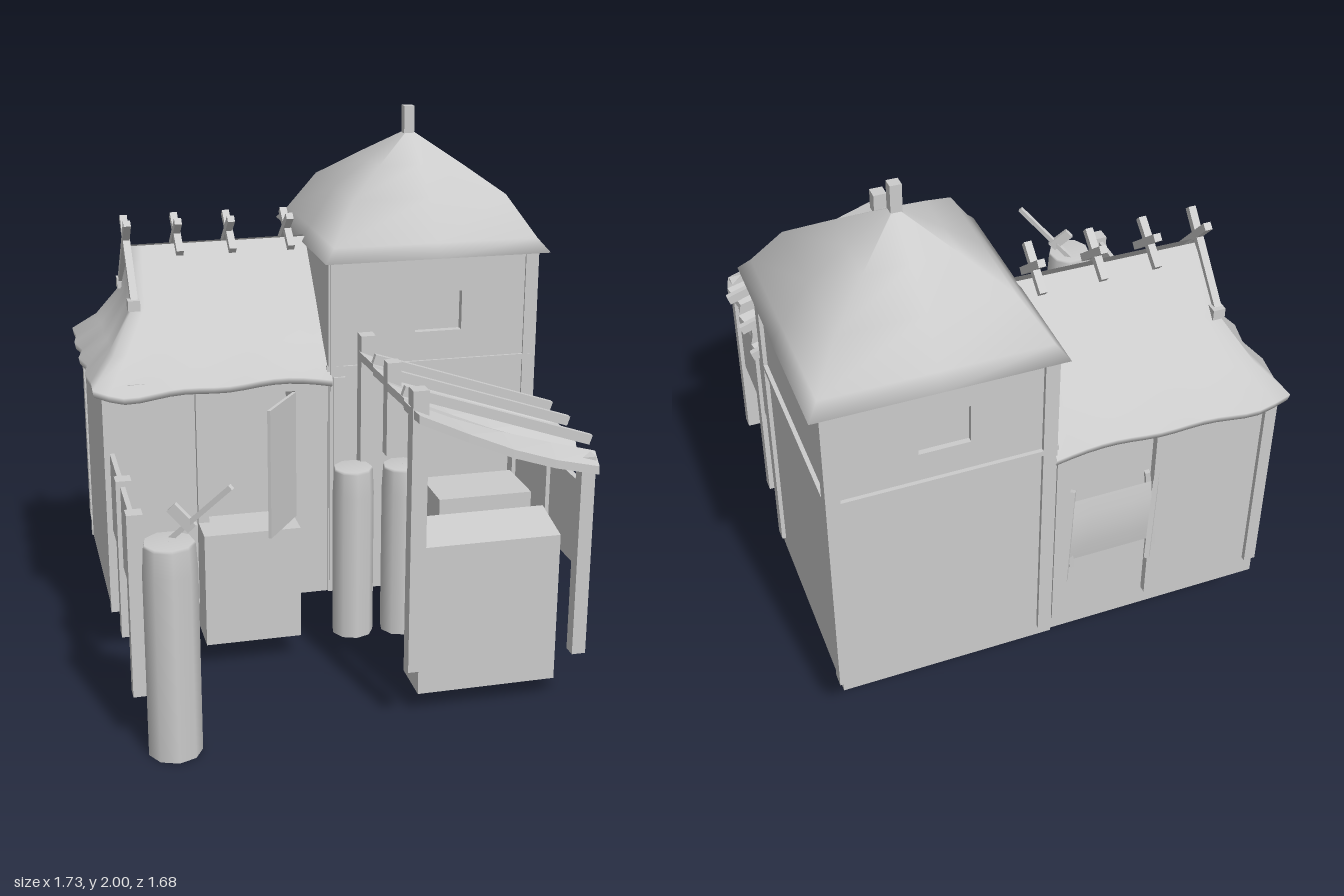
import * as THREE from 'three';

const V = (x, y, z) => new THREE.Vector3(x, y, z);
const smooth = new THREE.MeshStandardMaterial({ color: 0xcccccc, side: THREE.DoubleSide });
const flat = new THREE.MeshStandardMaterial({ color: 0xcccccc, side: THREE.DoubleSide, flatShading: true });

function add(parent, name, geo, mat = flat) {
  const m = new THREE.Mesh(geo, mat);
  m.name = name;
  parent.add(m);
  return m;
}

// Box given by its limits on each axis
function box(parent, name, [x0, x1], [y0, y1], [z0, z1]) {
  const m = add(parent, name, new THREE.BoxGeometry(x1 - x0, y1 - y0, z1 - z0));
  m.position.set((x0 + x1) / 2, (y0 + y1) / 2, (z0 + z1) / 2);
  return m;
}

// Square beam between two points
function beam(parent, name, a, b, w = 0.03, h = w) {
  const m = add(parent, name, new THREE.BoxGeometry(w, h, a.distanceTo(b)));
  m.position.copy(a).lerp(b, 0.5);
  m.lookAt(b);
  return m;
}

// Upright post on a square footing
const post = (parent, name, x, z, y0, y1, w = 0.05) =>
  box(parent, name, [x - w / 2, x + w / 2], [y0, y1], [z - w / 2, z + w / 2]);

// Wall slab facing outward, with an optional opening [x0, x1, y0, y1]
function wall(parent, name, w, y0, y1, x, z, turn, hole) {
  const rect = (P, a, b, c, d) => new P([[a, c], [b, c], [b, d], [a, d]].map(p => new THREE.Vector2(...p)));
  const s = rect(THREE.Shape, -w / 2, w / 2, y0, y1);
  if (hole) s.holes.push(rect(THREE.Path, ...hole));
  const g = new THREE.ExtrudeGeometry(s, { depth: 0.03, bevelEnabled: false });
  g.translate(0, 0, -0.03).rotateY(turn);
  add(parent, name, g).position.set(x, 0, z);
}

// Surface through rings of equal length, from the bottom up
function loft(rings, closed) {
  const n = rings[0].length, idx = [];
  for (let i = 0; i < rings.length - 1; i++)
    for (let j = 0; j < (closed ? n : n - 1); j++) {
      const k = (j + 1) % n, a = i * n + j, b = i * n + k, c = b + n, d = a + n;
      idx.push(a, d, b, b, d, c);
    }
  const g = new THREE.BufferGeometry().setFromPoints(rings.flat());
  g.setIndex(idx);
  g.computeVertexNormals();
  return g;
}

function tower() {
  const g = new THREE.Group();
  g.name = 'tower';
  const win = [-0.09, 0.09, 1.22, 1.37];
  wall(g, 'towerFront', 0.79, 0.2, 1.5, 0.415, 0.035, 0, [win[0] + 0.025, win[1] + 0.025, 1.22, 1.37]);
  wall(g, 'towerBack', 0.79, 0.2, 1.5, 0.415, -0.765, Math.PI, win);
  wall(g, 'towerLeft', 0.8, 0.2, 1.5, 0.81, -0.365, Math.PI / 2);
  wall(g, 'towerRight', 0.8, 0.2, 1.5, 0.02, -0.365, -Math.PI / 2);
  for (const z of [0, -0.74]) box(g, 'windowPane', [0.3, 0.55], [1.2, 1.39], [z - 0.005, z + 0.005]);
  // Corner posts and the belt beam
  for (const x of [0.05, 0.8]) for (const z of [0.018, -0.755]) post(g, 'cornerPost', x, z, 0.25, 1.5);
  for (const z of [0.035, -0.77]) box(g, 'beltBeam', [0.03, 0.82], [1.09, 1.11], [z - 0.01, z + 0.01]);
  for (const x of [0.025, 0.815]) box(g, 'beltBeam', [x - 0.01, x + 0.01], [1.09, 1.11], [-0.77, 0.035]);
  // Bell-shaped roof on a square plan
  const ring = ([r, y]) => [[1, 1], [0, 1], [-1, 1], [-1, 0], [-1, -1], [0, -1], [1, -1], [1, 0]]
    .map(([sx, sz]) => V(0.435 + sx * r, y, -0.38 + sz * r * 1.02));
  const profile = [[0.385, 1.5], [0.43, 1.5], [0.39, 1.55], [0.295, 1.7], [0.16, 1.8], [0.004, 1.91]];
  add(g, 'towerRoof', loft(profile.map(ring), true), smooth);
  post(g, 'finial', 0.432, -0.378, 1.88, 2, 0.04);
  return g;
}

function house() {
  const g = new THREE.Group();
  g.name = 'house';
  const mid = -0.395;
  wall(g, 'houseFront', 0.84, 0.2, 1.09, mid, 0.025, 0, [-0.055, 0.315, 0.54, 1.03]);
  wall(g, 'houseBack', 0.84, 0.2, 1.09, mid, -0.755, Math.PI);
  wall(g, 'houseEnd', 0.78, 0.2, 1.09, -0.81, -0.365, -Math.PI / 2);
  for (const [x, z] of [[-0.795, 0.02], [-0.795, -0.75], [-0.37, -0.76], [0, -0.76], [0.06, 0.03]])
    post(g, 'wallPost', x, z, 0.28, 1.07, 0.045);
  // Door frame, open door and the step under it
  for (const x of [-0.46, -0.09]) box(g, 'doorJamb', [x - 0.02, x + 0.02], [0.54, 1.07], [0.0, 0.05]);
  box(g, 'doorLintel', [-0.48, -0.07], [1.03, 1.07], [0.0, 0.05]);
  beam(g, 'door', V(-0.115, 0.785, 0.06), V(-0.25, 0.785, 0.25), 0.012, 0.49);
  box(g, 'doorStep', [-0.48, -0.12], [0.1, 0.54], [0.0, 0.18]);

  // Thatched half-hipped roof with a wavy eave
  const levels = [[-0.8, 0.39, 1.04, 1], [-0.845, 0.42, 1.035, 1], [-0.85, 0.425, 1.06, 1],
    [-0.76, 0.31, 1.18, 0.5], [-0.672, 0.19, 1.32, 0.1], [-0.65, 0.012, 1.515, 0]];
  const rings = levels.map(([x0, h, y, w]) => {
    const pts = [], N = 16, M = 8;
    const put = (x, z, s) => {
      const wave = 0.03 * Math.exp(-(((x + 0.24) / 0.15) ** 2)) + 0.012 * Math.cos(x * 14 + 1)
        + 0.03 * Math.exp(-(((x + 0.86) / 0.08) ** 2));
      pts.push(V(x + s * w * 0.012 * Math.cos(z * 26), y + w * wave + (1 - w) * 0.008 * (x + 0.4), z));
    };
    for (let i = 0; i <= N; i++) put(0.03 + (x0 - 0.03) * i / N, -0.367 + h, 0);
    for (let i = 1; i < M; i++) put(x0, -0.367 + h - 2 * h * i / M, 1);
    for (let i = N; i >= 0; i--) put(0.03 + (x0 - 0.03) * i / N, -0.367 - h, 0);
    return pts;
  });
  add(g, 'thatchRoof', loft(rings, false), smooth);

  // Crossed sticks along the ridge, the end pair running down the gable
  for (const x of [-0.665, -0.475, -0.275, -0.05])
    for (const s of [1, -1]) {
      const low = x < -0.6 ? [1.34, 0.175] : [1.49, 0.075];
      beam(g, 'ridgeStick', V(x, 1.61, -0.367 - s * 0.065), V(x + s * 0.003, low[0], -0.367 + s * low[1]), 0.027);
      if (x < -0.6) post(g, 'gableKnob', x, -0.367 + s * 0.18, 1.31, 1.35, 0.045);
    }

  // Hide stretched between slanted sticks on the back wall
  const hide = new THREE.PlaneGeometry(0.31, 0.28, 4, 4), p = hide.attributes.position;
  for (let i = 0; i < p.count; i++) p.setZ(i, 0.02 * Math.cos(p.getY(i) * 9));
  hide.computeVertexNormals();
  const h = add(g, 'stretchedHide', hide, smooth);
  h.rotation.y = Math.PI;
  h.position.set(-0.185, 0.7, -0.775);
  for (const x of [-0.345, -0.025])
    for (const s of [1, -1])
      beam(g, 'hideStick', V(x - s * 0.02, 0.88, -0.77), V(x + s * 0.025, 0.52, s > 0 ? -0.83 : -0.775), 0.018);
  return g;
}

function porch() {
  const g = new THREE.Group();
  g.name = 'porch';
  // Sagging canopy with ragged edges
  const slope = x => 1.185 - 0.35 * (x - 0.12) - 0.02 * Math.sin((x - 0.12) * 4.6);
  const geo = new THREE.BoxGeometry(0.66, 0.03, 0.77, 4, 1, 8), p = geo.attributes.position;
  for (let i = 0; i < p.count; i++) {
    const x = p.getX(i) + 0.455, z = p.getZ(i) + 0.42, ripple = Math.cos((z - 0.335) * 35);
    const bow = z > 0.79 ? 0.03 * Math.cos((x - 0.455) * 4.5) : 0;
    p.setXYZ(i, x + 0.015 * ripple * Math.sign(p.getX(i)), p.getY(i) + slope(x) - 0.02 + 0.012 * ripple, z + bow);
  }
  geo.computeVertexNormals();
  add(g, 'canopy', geo);
  for (const z of [0.245, 0.415, 0.62])
    beam(g, 'batten', V(0.135, 1.195, z), V(0.815, 0.965, z), 0.022, 0.035);
  // Posts and the side board
  for (const z of [0.085, 0.745]) post(g, 'tallPost', 0.152, z, 0.22, 1.24, 0.055);
  post(g, 'tallPost', 0.152, 0.43, 0.9, 1.24, 0.05);
  for (const [z, y] of [[0.085, 0.1], [0.435, 0.13], [0.75, 0.22]]) post(g, 'shortPost', 0.75, z, y, 0.96);
  box(g, 'sideBoard', [0.74, 0.76], [0.54, 0.85], [0.08, 0.75]);
  // Crates, the front one with a sloping lid edge
  const crate = box(g, 'frontCrate', [0.19, 0.7], [0.08, 0.68], [0.5, 0.68]);
  const c = crate.geometry.attributes.position;
  for (let i = 0; i < c.count; i++)
    if (c.getY(i) > 0 && c.getZ(i) > 0) c.setY(i, c.getY(i) - 0.04);
  box(g, 'rearCrate', [0.37, 0.725], [0.08, 0.66], [0.09, 0.32]);
  return g;
}

// Rounded pillar or barrel, open underneath
function barrel(parent, name, x, z, r, y0, y1) {
  const pts = [[r, y0], [r, y1 - 0.1], [r * 0.94, y1 - 0.01], [r * 0.9, y1], [0.001, y1]];
  add(parent, name, new THREE.LatheGeometry(pts.map(q => new THREE.Vector2(...q)), 9), smooth).position.set(x, 0, z);
}

function yard() {
  const g = new THREE.Group();
  g.name = 'yard';
  barrel(g, 'barrel', 0.085, 0.155, 0.078, 0.09, 0.755);
  barrel(g, 'barrel', 0.27, 0.17, 0.078, 0.09, 0.755);
  barrel(g, 'choppingPillar', -0.68, 0.715, 0.094, 0, 0.77);
  // Tool stuck in the pillar
  beam(g, 'toolHandle', V(-0.67, 0.76, 0.675), V(-0.485, 0.975, 0.8), 0.018);
  beam(g, 'toolHead', V(-0.665, 0.88, 0.69), V(-0.6, 0.81, 0.72), 0.02, 0.04);
  // Fence
  box(g, 'fenceBoard', [-0.797, -0.78], [0.54, 0.84], [0.03, 0.66]);
  for (const z of [0.35, 0.66]) post(g, 'fencePost', -0.785, z, z > 0.5 ? 0.2 : 0.27, 0.86, 0.055);
  return g;
}

export function createModel() {
  const model = new THREE.Group();
  model.name = 'homestead';
  model.add(tower(), house(), porch(), yard());
  return model;
}
